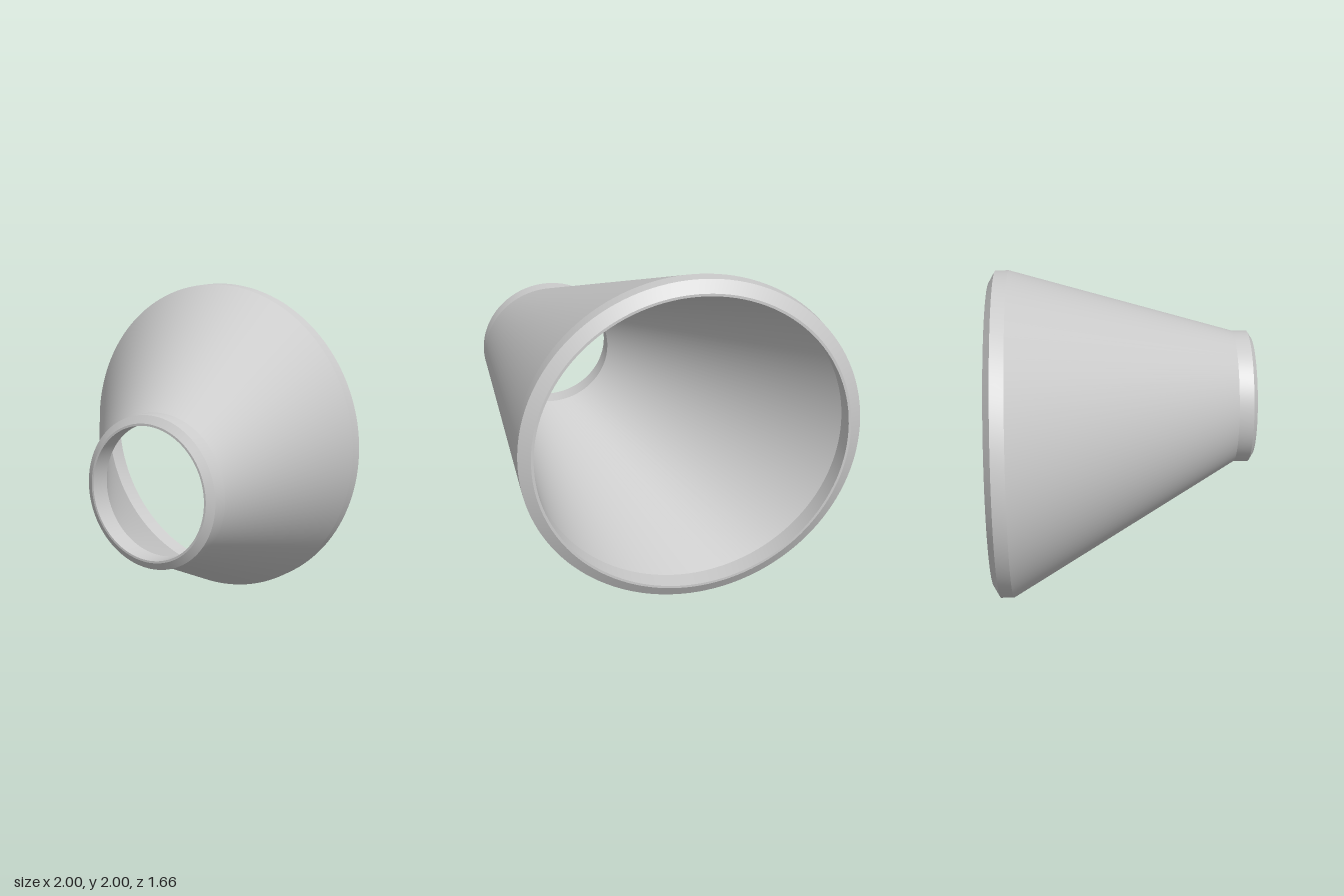
import * as THREE from 'three';
import { mergeGeometries } from 'three/addons/utils/BufferGeometryUtils.js';

const SEGMENTS = 128;

// Ring of points: centre x, z and radius
function ringPoints([cx, z, r]) {
  const points = [];
  for (let i = 0; i < SEGMENTS; i++) {
    const a = (i / SEGMENTS) * Math.PI * 2;
    points.push(cx + r * Math.cos(a), 1 + r * Math.sin(a), z);
  }
  return points;
}

// Smooth band between two rings; separate bands keep the edges between them sharp
function band(ringA, ringB) {
  const index = [];
  for (let i = 0; i < SEGMENTS; i++) {
    const j = (i + 1) % SEGMENTS;
    index.push(i, i + SEGMENTS, j, j, i + SEGMENTS, j + SEGMENTS);
  }
  const geometry = new THREE.BufferGeometry();
  const positions = [...ringPoints(ringA), ...ringPoints(ringB)];
  geometry.setAttribute('position', new THREE.Float32BufferAttribute(positions, 3));
  geometry.setIndex(index);
  geometry.computeVertexNormals();
  return geometry;
}

export function createModel() {
  const group = new THREE.Group();
  group.name = 'eccentricReducer';
  const material = new THREE.MeshStandardMaterial({ color: 0xcccccc });

  const offset = 0.57; // centre of the small end
  const outer = [
    [offset, 0.83, 0.387], // small end face
    [offset, 0.803, 0.43], // weld bevel
    [offset, 0.71, 0.43],  // small collar
    [0, -0.71, 1],         // slanted cone
    [0, -0.79, 1],         // large collar
    [0, -0.83, 0.93],      // weld bevel
  ];
  const inner = [
    [0, -0.83, 0.915],
    [0, -0.71, 0.915],
    [offset, 0.71, 0.375],
    [offset, 0.83, 0.375],
  ];

  const addPart = (name, rings) => {
    const bands = rings.slice(1).map((ring, i) => band(rings[i], ring));
    const mesh = new THREE.Mesh(mergeGeometries(bands), material);
    mesh.name = name;
    group.add(mesh);
  };

  addPart('outerWall', outer);
  addPart('largeEndFace', [outer[5], inner[0]]);
  addPart('innerWall', inner);
  addPart('smallEndFace', [inner[3], outer[0]]);
  return group;
}
